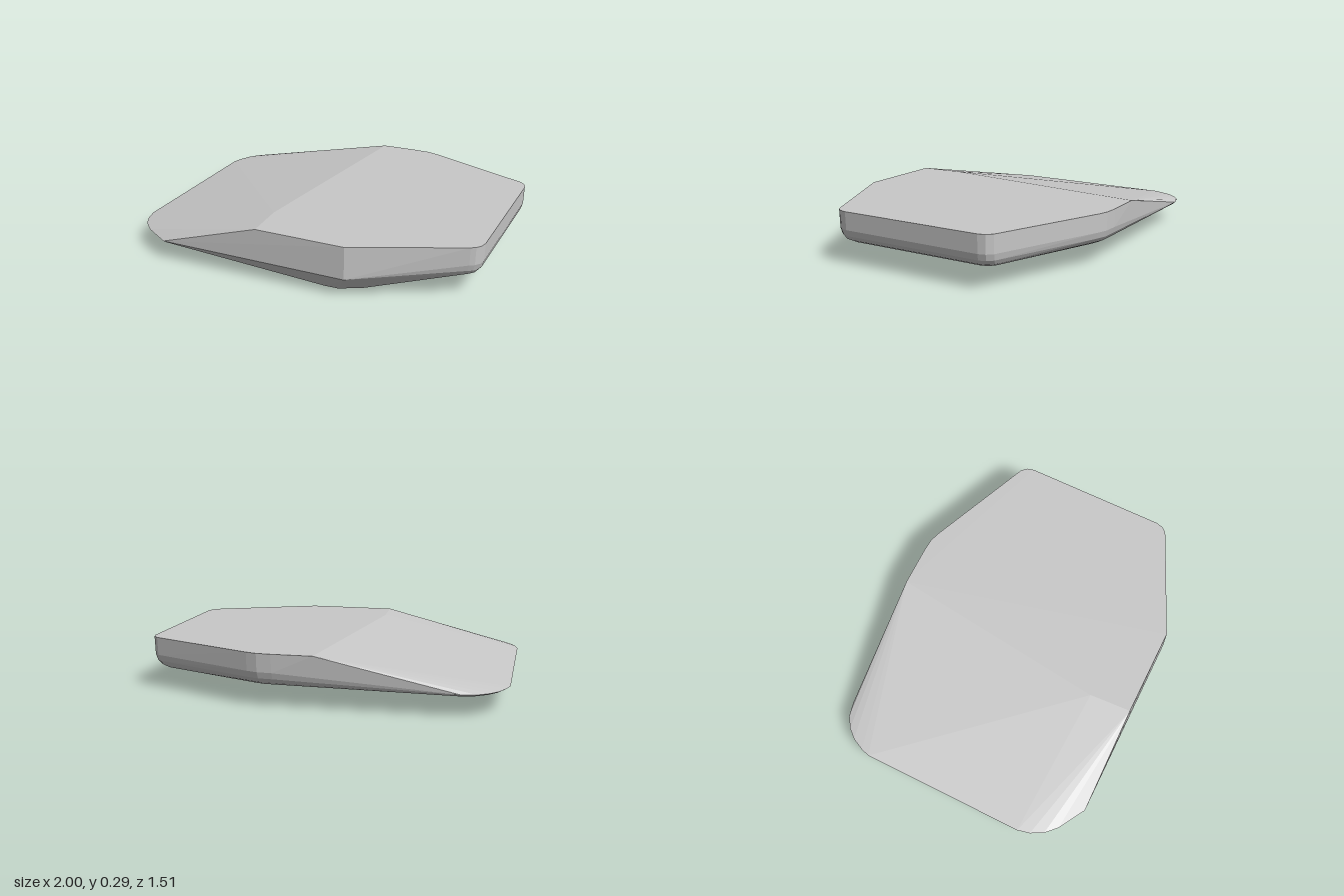
import * as THREE from 'three';
import { ConvexGeometry } from 'three/addons/geometries/ConvexGeometry.js';

export function createModel() {
  const group = new THREE.Group();
  group.name = 'stoneSlab';
  const stone = new THREE.MeshStandardMaterial({ color: 0xc8c8c8 });
  stone.name = 'grey stone';

  const points = [];
  const add = (x, y, z) => points.push(new THREE.Vector3(x, y, z));

  // Flat top on the thick side
  [[-0.16, 0.735], [-0.17, 0.5], [0.35, 0.747], [0, -0.755]].forEach(([x, z]) => add(x, 0.29, z));

  // Upright right and back sides with a rounded lower edge
  const rim = [[0.93, 0.5], [0.955, 0.485], [0.975, 0.46], [0.985, 0.42], [0.998, -0.4],
    [0.988, -0.44], [0.96, -0.47], [0.36, -0.73], [0.3, -0.75], [0.22, -0.755]];
  const rows = [[0.29, 0], [0.19, 0.003], [0.155, 0.014], [0.13, 0.035], [0.115, 0.065]];
  for (const [x, z] of rim) {
    const len = Math.hypot(x, z);
    for (const [y, inset] of rows) add(x * (1 - inset / len), y, z * (1 - inset / len));
  }

  // Thin left edge with rounded corners
  [[-0.74, 0.732, 0.11], [-0.89, 0.64, 0.115], [-0.95, 0.58, 0.12], [-0.985, 0.51, 0.12],
    [-1, 0.44, 0.12], [-0.985, -0.5, 0.12], [-0.97, -0.55, 0.12], [-0.935, -0.62, 0.12],
    [-0.89, -0.67, 0.12], [-0.83, -0.71, 0.12], [-0.75, -0.728, 0.12]]
    .forEach(([x, z, y]) => { add(x, y + 0.002, z); add(x * 0.985, y - 0.008, z * 0.985); });

  // Front ridge and the low resting facet
  add(0.35, 0.11, 0.753);
  [[0.2, 0.66], [0.28, 0.66], [0.4, 0.6], [0.4, 0.5], [0.24, 0.5]].forEach(([x, z]) => add(x, 0, z));

  const slab = new THREE.Mesh(new ConvexGeometry(points), stone);
  slab.name = 'slab';
  group.add(slab);
  return group;
}
